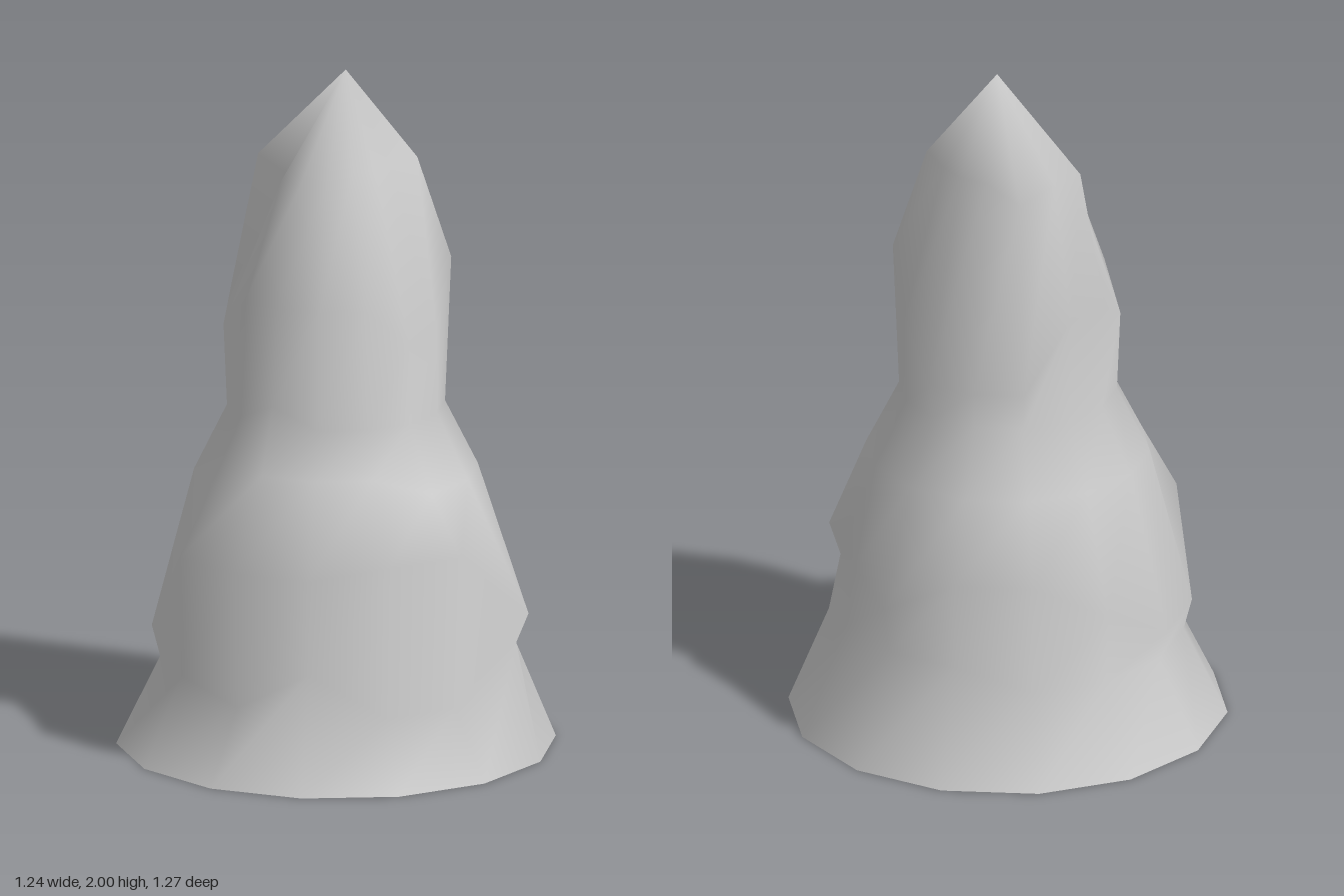
import * as THREE from 'three';

const SIDES = 14;

// Radius and height of each ring, from the ground up
const PROFILE = [
  [0.635, 0], [0.5, 0.33], [0.52, 0.47], [0.41, 0.82],
  [0.315, 1.01], [0.325, 1.25], [0.2, 1.73],
];
const APEX = [0.01, 2, -0.035];

// Bulges and dents: ring, column (from +z towards +x), reach in columns, radius change, height change
const BUMPS = [
  // pinched waist above the skirt
  [1, 0, 1, 0, -0.12], [1, 2.5, 1.5, 0.01, -0.13], [1, 4, 1, 0.06, 0.02], [1, 11, 3, 0.008, -0.07],
  // swollen lower drip
  [2, 1, 3, 0, 0.145], [2, 2.5, 1.5, 0.015, 0.04], [2, 4, 1, 0.078, -0.03],
  [2, 5.5, 1.5, -0.047, 0.04], [2, 8.5, 1.5, -0.01, 0.12], [2, 11.5, 1.5, 0.012, -0.117],
  // shoulder and neck
  [3, 1, 2, -0.035, 0.055], [4, 0, 1, 0.005, 0.06],
  // upper drip
  [5, 0.5, 2.5, -0.027, 0.11], [5, 3.5, 1.5, -0.012, 0], [5, 5, 1, 0.008, 0.19],
  [5, 8, 2, 0.007, -0.13], [5, 10.5, 1.5, 0, 0.08],
  // tip, with a gully beside a bulge
  [6, 0, 2, -0.02, -0.03], [6, 3, 2, -0.033, 0.01], [6, 5, 1, 0.035, 0.01],
  [6, 10, 2, 0.042, 0], [6, 9, 1, 0, -0.05], [6, 12, 1, -0.085, -0.05],
];

// Radius and height at one column of a ring, with its bumps added
function ringPoint(ring, column) {
  let [radius, height] = PROFILE[ring];
  for (const [bumpRing, centre, reach, dr, dy] of BUMPS) {
    if (bumpRing !== ring) continue;
    const gap = Math.abs(column - centre);
    const weight = THREE.MathUtils.clamp(reach - Math.min(gap, SIDES - gap), 0, 1);
    radius += dr * weight;
    height += dy * weight;
  }
  return [radius, height];
}

function spireGeometry() {
  const positions = [];
  const index = [];
  const tip = PROFILE.length * SIDES;
  for (let i = 0; i < PROFILE.length; i++) {
    for (let k = 0; k < SIDES; k++) {
      const angle = (k / SIDES) * Math.PI * 2;
      const [radius, height] = ringPoint(i, k);
      positions.push(radius * Math.sin(angle), height, radius * Math.cos(angle));

      const a = i * SIDES + k;
      const b = i * SIDES + ((k + 1) % SIDES);
      if (i === PROFILE.length - 1) index.push(a, b, tip);
      else index.push(a, b, b + SIDES, a, b + SIDES, a + SIDES);
    }
  }
  positions.push(...APEX);

  const geometry = new THREE.BufferGeometry();
  geometry.setAttribute('position', new THREE.Float32BufferAttribute(positions, 3));
  geometry.setIndex(index);
  geometry.computeVertexNormals();
  return geometry;
}

export function createModel() {
  const group = new THREE.Group();
  group.name = 'stalagmite';
  // hollow shell, open at the bottom
  const spire = new THREE.Mesh(
    spireGeometry(),
    new THREE.MeshStandardMaterial({ color: 0xcccccc, side: THREE.DoubleSide })
  );
  spire.name = 'rockSpire';
  group.add(spire);
  return group;
}
